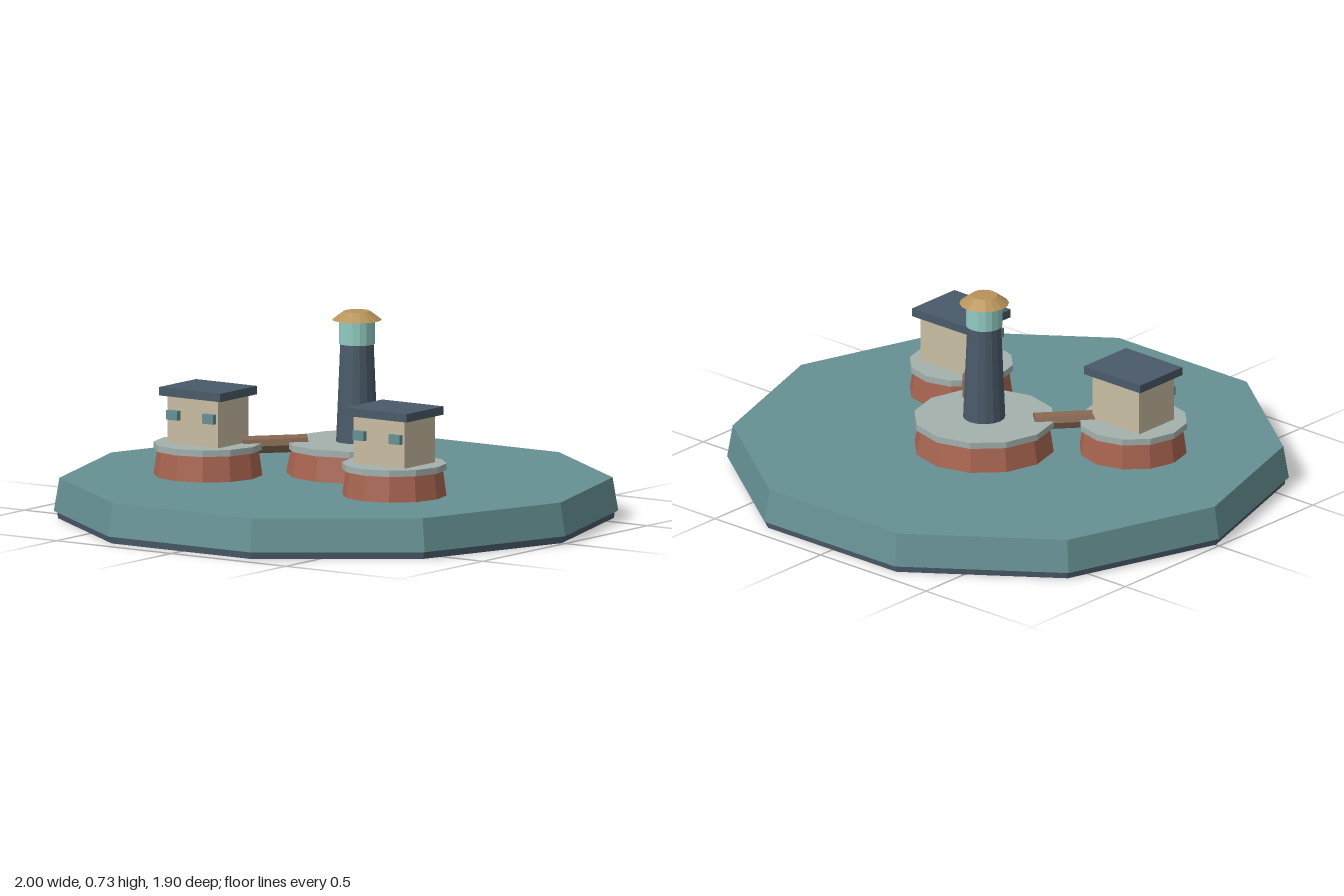
import * as THREE from 'three';

const mat = (name, color) => {
  const m = new THREE.MeshStandardMaterial({ color, flatShading: true });
  m.name = name;
  return m;
};

export function createModel() {
  const sea = mat('sea teal', 0x669194);
  const slate = mat('slate', 0x4a5a69);
  const brick = mat('red rock', 0xa86450);
  const stone = mat('pale stone', 0xa3b1ad);
  const plaster = mat('cream plaster', 0xc8bda2);
  const glass = mat('lantern glass', 0x92cbc1);
  const gold = mat('ochre', 0xb8935a);
  const wood = mat('wood', 0x856650);

  const model = new THREE.Group();
  model.name = 'harbourIslands';

  const add = (parent, name, geometry, material, x, y, z) => {
    const mesh = new THREE.Mesh(geometry, material);
    mesh.name = name;
    mesh.position.set(x, y, z);
    parent.add(mesh);
    return mesh;
  };
  // Upright frustum standing between heights y0 and y1
  const drum = (parent, name, material, rTop, rBottom, y0, y1, sides, x = 0, z = 0) =>
    add(parent, name, new THREE.CylinderGeometry(rTop, rBottom, y1 - y0, sides), material, x, (y0 + y1) / 2, z);

  // Ten-sided sea slab on a slate footing
  drum(model, 'footing', slate, 0.988, 0.985, 0, 0.028, 10).rotation.y = Math.PI / 2;
  drum(model, 'sea', sea, 0.98, 1, 0.026, 0.145, 10).rotation.y = Math.PI / 2;

  // Islands: tapered red rock with a stone cap
  const island = (name, x, z, r) => {
    const g = new THREE.Group();
    g.name = name;
    g.position.set(x, 0, z);
    drum(g, 'rock', brick, r * 0.93, r, 0.143, 0.238, 12);
    drum(g, 'stoneCap', stone, r, r, 0.237, 0.26, 12);
    model.add(g);
    return g;
  };

  // Lighthouse on the main island
  const main = island('mainIsland', 0, -0.127, 0.252);
  drum(main, 'tower', slate, 0.06, 0.075, 0.258, 0.612, 16);
  drum(main, 'lantern', glass, 0.065, 0.065, 0.61, 0.697, 16);
  drum(main, 'lanternRoof', gold, 0.047, 0.088, 0.695, 0.726, 16);

  // House with two front windows
  const house = (parent) => {
    add(parent, 'walls', new THREE.BoxGeometry(0.222, 0.175, 0.185), plaster, 0, 0.345, 0);
    add(parent, 'roof', new THREE.BoxGeometry(0.267, 0.03, 0.225), slate, 0, 0.445, 0);
    for (const side of [-1, 1]) {
      add(parent, 'window', new THREE.BoxGeometry(0.048, 0.034, 0.02), sea, side * 0.078, 0.363, 0.102);
    }
  };
  house(island('rightIsland', -0.411, 0.205, 0.194));
  house(island('leftIsland', 0.397, 0.198, 0.186));

  // Log bridges from the main island to the house islands
  for (const side of [-1, 1]) {
    const a = new THREE.Vector3(side * 0.15, 0.252, -0.03);
    const b = new THREE.Vector3(side * 0.305, 0.252, 0.145);
    const dir = b.clone().sub(a);
    const bridge = add(model, 'bridge', new THREE.CylinderGeometry(0.032, 0.032, dir.length(), 8), wood, 0, 0, 0);
    bridge.position.copy(a).add(b).multiplyScalar(0.5);
    bridge.quaternion.setFromUnitVectors(new THREE.Vector3(0, 1, 0), dir.normalize());
  }

  return model;
}
